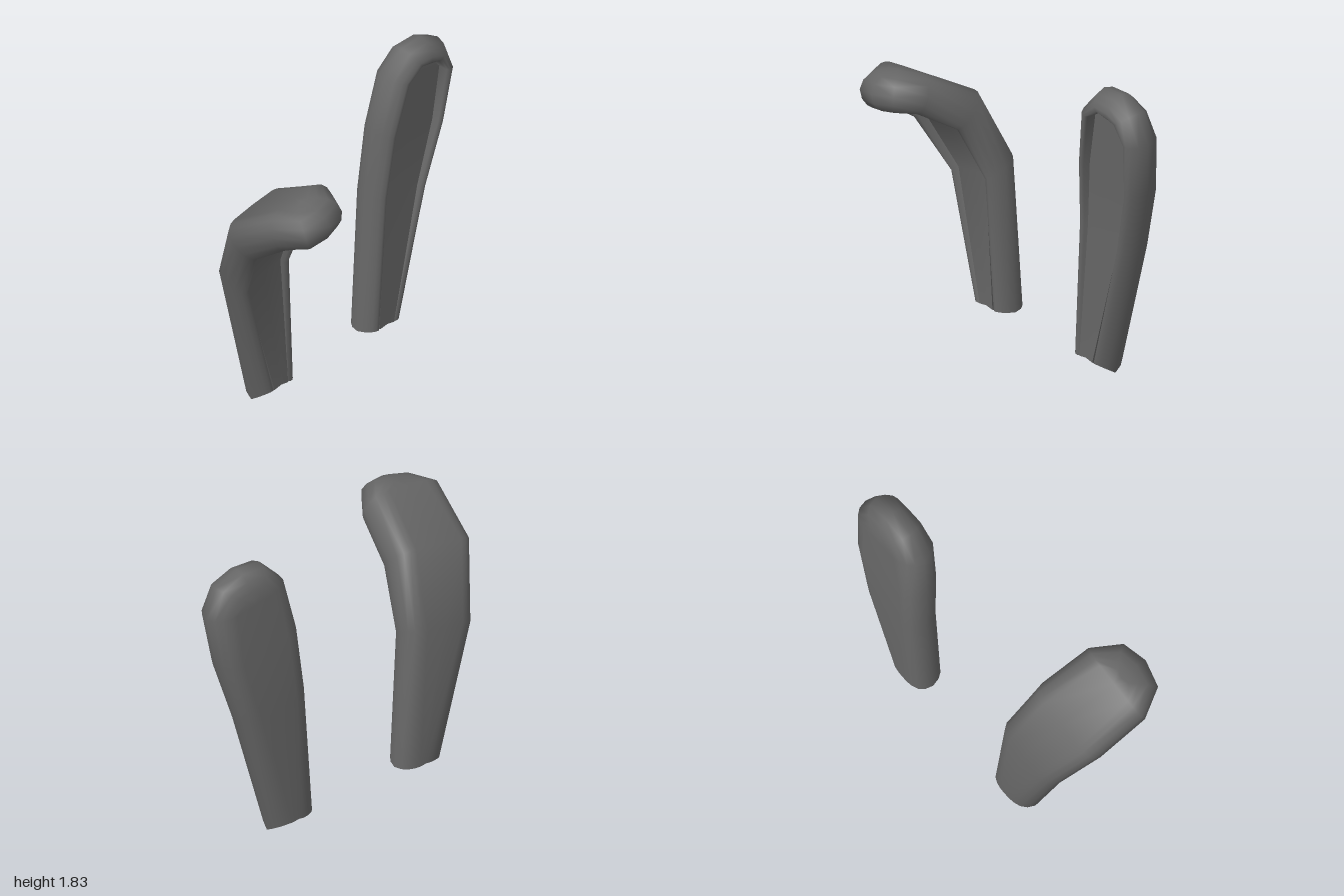
import * as THREE from 'three';
import { mergeVertices } from 'three/addons/utils/BufferGeometryUtils.js';

// Outline of each ear: up the -x side, over the tip, down the +x side: [x, y, z]
const UPRIGHT = [
  [0.31, 0.06, -0.3], [0.37, 0.93, -0.297], [0.405, 1.34, -0.267], [0.47, 1.68, -0.232],
  [0.605, 1.825, -0.222], [0.77, 1.84, -0.22], [0.92, 1.77, -0.222],
  [0.995, 1.59, -0.235], [0.945, 1.25, -0.27], [0.83, 0.85, -0.3], [0.61, 0.01, -0.3],
];
const FOLDED = [
  [-0.61, 0.01, -0.3], [-0.83, 0.86, -0.3], [-0.965, 1.24, -0.11], [-1.0, 1.425, 0.19],
  [-0.9, 1.44, 0.37], [-0.74, 1.475, 0.41], [-0.59, 1.5, 0.37],
  [-0.48, 1.495, 0.2], [-0.43, 1.33, -0.1], [-0.375, 0.95, -0.28], [-0.31, 0.06, -0.3],
];

// Per row from base to tip: forward tilt and sideways roll of the ear's face, half thickness
const UPRIGHT_ROWS = {
  tilt: [0, 0.03, 0.08, 0.1, 0.1, 0.1],
  roll: [0, 0, 0, 0, 0, 0],
  half: [0.1, 0.108, 0.115, 0.118, 0.115, 0.113],
};
const FOLDED_ROWS = {
  tilt: [0, 0.48, 0.8, 1.25, 1.35, 1.35],
  roll: [0, 0.08, 0.18, 0.18, 0.18, 0.18],
  half: [0.1, 0.115, 0.128, 0.118, 0.113, 0.115],
};
// Width of the rim and height of the hollow's floor, per row; flush at the base
const RIM = [0.092, 0.085, 0.087, 0.105, 0.13, 0.14];
const FLOOR = [0.97, 0.68, 0.52, 0.42, 0.38, 0.38];

// Profiles: [inset / rim width (null = centreline), height / half thickness (null = floor)]
const SHELL = [
  [1, null], [0.95, 0.88], [0.82, 1], [0.62, 0.98], [0.38, 0.83], [0.13, 0.5],
  [0, 0], [0.13, -0.48], [0.42, -0.8], [0.85, -0.97], [1.25, -1.02], [null, -1.05],
];
const INNER = [[null, null], [1, null]];

function earSurface(outline, rows, profile) {
  const pts = outline.map((p) => new THREE.Vector3(...p));
  const last = pts.length - 1;
  const positions = [];
  const index = [];
  pts.forEach((edge, i) => {
    const row = Math.min(i, last - i);
    // The rows around the tip fan out from one shared centre
    const pair = Math.min(row, 3);
    const centre = pts[pair].clone().add(pts[last - pair]).multiplyScalar(0.5);
    const inward = centre.clone().sub(edge).normalize();
    const reach = centre.distanceTo(edge);
    profile.forEach(([inset, height]) => {
      const r = inset === null ? pair : row;
      const h = height ?? FLOOR[r];
      const normal = new THREE.Vector3(0, 0, 1)
        .applyEuler(new THREE.Euler(rows.tilt[r], 0, rows.roll[r], 'ZXY'));
      const p = edge.clone().addScaledVector(inward, inset === null ? reach : Math.min(inset * RIM[row], reach * 0.9));
      p.addScaledVector(normal, h * rows.half[r]);
      // Arched hem at the open base
      if (row === 0) p.y = inset === null ? 0.078 : THREE.MathUtils.lerp(edge.y, 0.07, Math.min(1, Math.abs(h)));
      positions.push(p.x, p.y, p.z);
    });
  });
  const n = profile.length;
  for (let i = 0; i < last; i++) {
    for (let j = 0; j < n - 1; j++) {
      const a = i * n + j;
      const b = a + n;
      index.push(a, b, a + 1, b, b + 1, a + 1);
    }
  }
  let geometry = new THREE.BufferGeometry();
  geometry.setAttribute('position', new THREE.Float32BufferAttribute(positions, 3));
  geometry.setIndex(index);
  // Weld the centreline so both halves shade as one
  geometry = mergeVertices(geometry, 1e-4);
  geometry.computeVertexNormals();
  return geometry;
}

function makeEar(name, outline, rows, material) {
  const ear = new THREE.Group();
  ear.name = name;
  const shell = new THREE.Mesh(earSurface(outline, rows, SHELL), material);
  shell.name = 'earShell';
  const inner = new THREE.Mesh(earSurface(outline, rows, INNER), material);
  inner.name = 'innerEar';
  ear.add(shell, inner);
  return ear;
}

export function createModel() {
  const grey = new THREE.MeshStandardMaterial({ color: 0x666666, side: THREE.DoubleSide });
  grey.name = 'darkGrey';
  const model = new THREE.Group();
  model.name = 'rabbitEars';
  model.add(
    makeEar('leftUprightEar', UPRIGHT, UPRIGHT_ROWS, grey),
    makeEar('rightFoldedEar', FOLDED, FOLDED_ROWS, grey),
  );
  return model;
}
